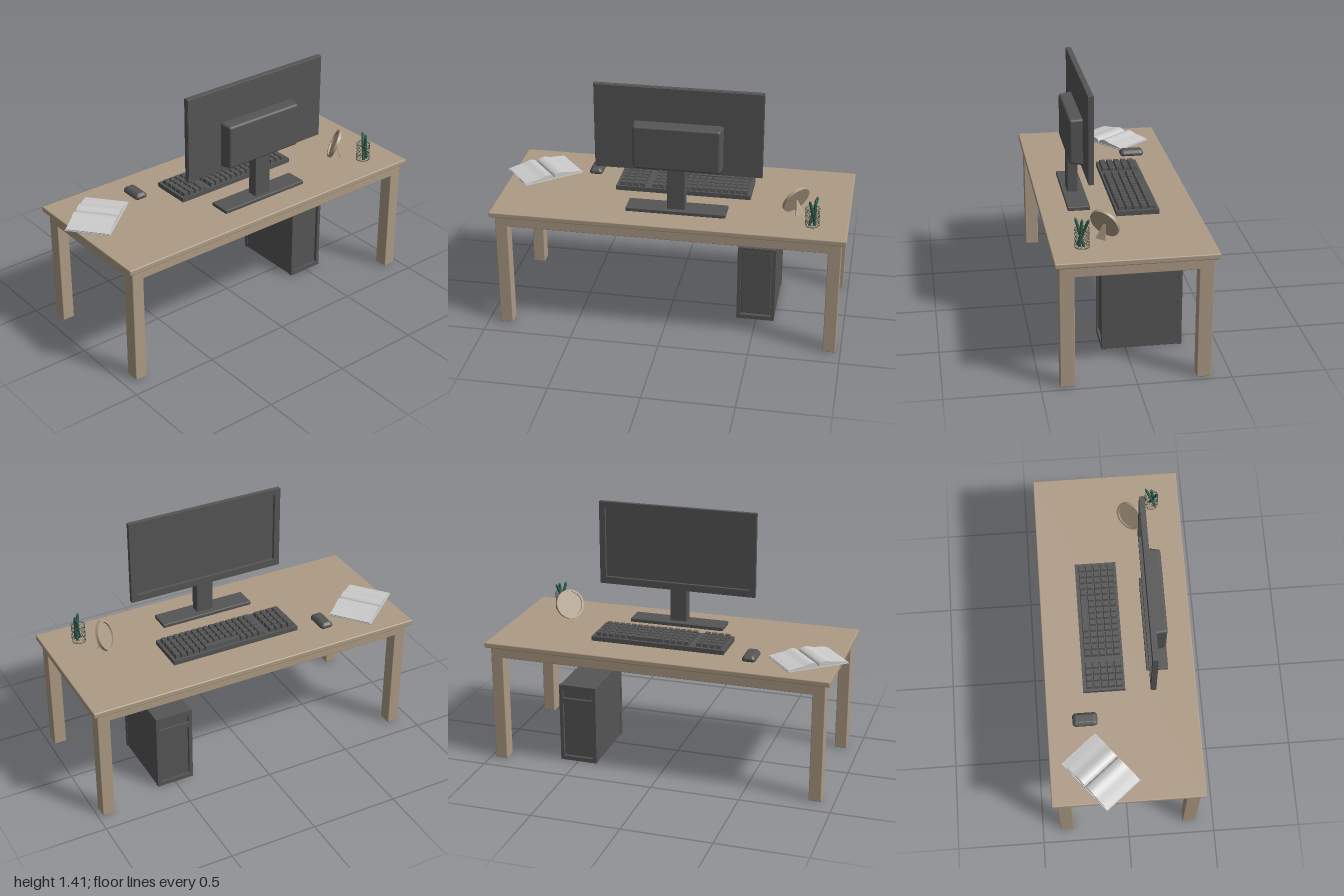
import * as THREE from 'three';
import { mergeGeometries } from 'three/addons/utils/BufferGeometryUtils.js';
import { RoundedBoxGeometry } from 'three/addons/geometries/RoundedBoxGeometry.js';

const mat = (color, side = THREE.FrontSide) => new THREE.MeshStandardMaterial({ color, side });
const wood = mat(0xad9b85), dark = mat(0x555555), paper = mat(0xcccccc, THREE.DoubleSide);
const green = mat(0x2f5f4c), wire = mat(0x3c4a44);
const TOP = 0.708; // desk surface height

export function createModel() {
  const root = new THREE.Group();
  root.name = 'officeDesk';

  const add = (name, geometry, material, parent = root) => {
    const m = new THREE.Mesh(geometry, material);
    m.name = name;
    parent.add(m);
    return m;
  };
  const group = (name) => {
    const g = new THREE.Group();
    g.name = name;
    root.add(g);
    return g;
  };
  // softly bevelled box given by its limits on each axis
  const block = (name, [x0, x1], [y0, y1], [z0, z1], material, parent, r = 0.004) => {
    const m = add(name, new RoundedBoxGeometry(x1 - x0, y1 - y0, z1 - z0, 2, r), material, parent);
    m.position.set((x0 + x1) / 2, (y0 + y1) / 2, (z0 + z1) / 2);
    return m;
  };
  const vectors = (list) => list.map(([x, y]) => new THREE.Vector2(x, y));
  const rect = (target, x0, x1, y0, y1) => target
    .moveTo(x0, y0).lineTo(x1, y0).lineTo(x1, y1).lineTo(x0, y1).closePath();
  // plate in x/y with rectangular openings, running from z = 0 to depth
  const plate = ([x0, x1, y0, y1], holes, depth) => {
    const s = rect(new THREE.Shape(), x0, x1, y0, y1);
    holes.forEach((h) => s.holes.push(rect(new THREE.Path(), ...h)));
    return new THREE.ExtrudeGeometry(s, { depth, bevelEnabled: false });
  };

  // Desk: top, four legs and the apron flush between them
  const desk = group('desk');
  block('deskTop', [-0.957, 0.998], [0.678, TOP], [-0.422, 0.421], wood, desk, 0.006);
  for (const [x0, x1] of [[-0.929, -0.86], [0.902, 0.972]]) {
    for (const [z0, z1] of [[-0.395, -0.317], [0.32, 0.398]]) {
      block('leg', [x0, x1], [0, 0.68], [z0, z1], wood, desk);
    }
  }
  for (const x of [-0.929, 0.942]) block('sideApron', [x, x + 0.03], [0.617, 0.68], [-0.35, 0.35], wood, desk);
  for (const z of [-0.395, 0.368]) block('longApron', [-0.89, 0.93], [0.617, 0.68], [z, z + 0.03], wood, desk);

  // Computer case: body with framed recesses on both ends
  const tower = group('computerCase');
  block('caseBody', [0.39, 0.602], [0.002, 0.458], [-0.292, 0.108], dark, tower, 0.002);
  const outline = [0.388, 0.604, 0, 0.46];
  add('caseBackFrame', plate(outline, [[0.408, 0.584, 0.025, 0.438]], 0.024), dark, tower).position.z = 0.105;
  block('backPanel', [0.412, 0.58], [0.03, 0.433], [0.1, 0.118], dark, tower);
  add('caseFrontFrame', plate(outline, [[0.408, 0.584, 0.025, 0.35], [0.408, 0.584, 0.38, 0.43]], 0.024),
    dark, tower).position.z = -0.309;
  block('driveDoor', [0.41, 0.582], [0.385, 0.43], [-0.302, -0.28], dark, tower, 0.002);
  block('frontPanel', [0.411, 0.581], [0.028, 0.347], [-0.298, -0.28], dark, tower, 0.002);

  // Monitor: the screen looks towards the back of the desk
  const monitor = group('monitor');
  add('bezel', plate([-0.404, 0.518, 0.926, 1.412], [[-0.37, 0.484, 0.966, 1.38]], 0.024), dark, monitor).position.z = 0.155;
  block('screen', [-0.403, 0.517], [0.927, 1.411], [0.173, 0.185], dark, monitor, 0.002);
  const housing = new RoundedBoxGeometry(0.496, 0.262, 0.078, 2, 0.014);
  const hp = housing.attributes.position;
  for (let i = 0; i < hp.count; i++) {
    if (hp.getZ(i) > 0) hp.setXY(i, hp.getX(i) * 0.965, hp.getY(i) * 0.95); // tapers outwards
  }
  add('rearHousing', housing, dark, monitor).position.set(0.058, 1.087, 0.217);
  block('standNeck', [0.006, 0.106], [0.72, 1.0], [0.188, 0.246], dark, monitor);
  block('standFoot', [-0.22, 0.333], [TOP, 0.73], [0.15, 0.272], dark, monitor);

  // Keyboard: tray with two wells filled with keys
  const keyboard = group('keyboard');
  const wells = [[-0.31, -0.158, -0.014, 0.194], [-0.125, 0.424, -0.014, 0.194]]; // y here is -z
  const tray = plate([-0.325, 0.44, -0.024, 0.21], wells, 0.026);
  tray.rotateX(-Math.PI / 2);
  add('keyboardTray', tray, dark, keyboard).position.y = TOP;
  block('keyboardBase', [-0.324, 0.439], [TOP, 0.724], [-0.209, 0.023], dark, keyboard);
  const keys = [];
  const key = (x, z, w) => {
    const g = new THREE.BoxGeometry(w, 0.03, 0.036);
    const p = g.attributes.position;
    for (let i = 0; i < p.count; i++) {
      if (p.getY(i) > 0) p.setXYZ(i, p.getX(i) - Math.sign(p.getX(i)) * 0.003, p.getY(i), p.getZ(i) * 0.84);
    }
    g.computeVertexNormals();
    keys.push(g.translate(x, 0.737, z));
  };
  const rowZ = (r) => -0.172 + r * 0.041;
  for (let r = 0; r < 5; r++) {
    for (let c = 0; c < 4; c++) key(-0.291 + c * 0.038, rowZ(r), 0.033);
    for (let c = 0; c < 15; c++) {
      if (r > 0 || c < 4 || c > 9) key(-0.105 + c * 0.0364, rowZ(r), 0.032);
    }
  }
  key(-0.105 + 6.5 * 0.0364, rowZ(0), 0.214); // space bar
  add('keys', mergeGeometries(keys), dark, keyboard);

  // Mouse: rounded block arched along and across
  const mouse = new RoundedBoxGeometry(0.076, 0.048, 0.138, 6, 0.02);
  const mp = mouse.attributes.position;
  for (let i = 0; i < mp.count; i++) {
    const y = mp.getY(i) + 0.024, t = mp.getZ(i) / 0.069, s = mp.getX(i) / 0.038;
    mp.setY(i, y * (1 - 0.3 * t * t) * (1 - 0.35 * s * s));
  }
  mouse.computeVertexNormals();
  add('mouse', mouse, dark).position.set(-0.481, TOP, -0.211);

  // Open book: thin cover and two arched stacks of pages
  const book = group('openBook');
  book.position.set(-0.78, TOP, -0.142);
  book.rotation.y = 0.688;
  add('cover', new THREE.BoxGeometry(0.362, 0.004, 0.25), paper, book).position.y = 0.002;
  for (const s of [-1, 1]) {
    const curve = new THREE.SplineCurve(vectors([[0, 0.007], [0.012, 0.024], [0.045, 0.032], [0.09, 0.021],
      [0.135, 0.016], [0.177, 0.009]].map(([x, y]) => [s * x, y])));
    const pages = new THREE.Shape([new THREE.Vector2(0, 0.003), ...curve.getPoints(20), new THREE.Vector2(s * 0.177, 0.003)]);
    add('pages', new THREE.ExtrudeGeometry(pages, { depth: 0.24, bevelEnabled: false }), paper, book).position.z = -0.12;
  }

  // Round table mirror leaning on a triangular strut
  const mirror = group('roundMirror');
  mirror.position.set(0.7, 0.786, 0.125);
  mirror.rotation.y = Math.atan2(-0.73, -0.68);
  const disc = new THREE.Group();
  disc.name = 'mirrorDisc';
  disc.rotation.x = -0.41;
  mirror.add(disc);
  add('plate', new THREE.CylinderGeometry(0.08, 0.08, 0.008, 48).rotateX(Math.PI / 2), wood, disc).position.z = -0.004;
  const rim = vectors([[0.073, -0.008], [0.085, -0.008], [0.085, 0.009], [0.073, 0.009], [0.073, -0.008]]);
  const rimGeo = new THREE.LatheGeometry(rim, 48).toNonIndexed();
  rimGeo.computeVertexNormals();
  add('rim', rimGeo.rotateX(Math.PI / 2), wood, disc);
  const strut = new THREE.Shape(vectors([[-0.004, 0], [-0.032, -0.085], [0.032, -0.085], [0.004, 0]]));
  const leg = add('strut', new THREE.ExtrudeGeometry(strut, { depth: 0.005, bevelEnabled: false }), wood, mirror);
  leg.rotation.x = 0.41;
  leg.position.z = -0.008;

  // Wire cup: crossed spirals between rings
  const cup = group('penCup');
  cup.position.set(0.803, TOP, 0.259);
  const R = 0.038, H = 0.1, N = 14, wires = [];
  for (let i = 0; i < N; i++) {
    for (const s of [-1, 1]) {
      const pts = [];
      for (let j = 0; j <= 10; j++) {
        const a = (i / N) * Math.PI * 2 + s * (j / 10) * 1.8;
        pts.push(new THREE.Vector3(R * Math.cos(a), H * j / 10, R * Math.sin(a)));
      }
      wires.push(new THREE.TubeGeometry(new THREE.CatmullRomCurve3(pts), 14, 0.0007, 4));
    }
  }
  for (const y of [0.002, H]) wires.push(new THREE.TorusGeometry(R, 0.0015, 6, 32).rotateX(Math.PI / 2).translate(0, y, 0));
  add('wireMesh', mergeGeometries(wires), wire, cup);

  // Pens: foot x, foot z, tip x, tip z
  const pens = [[0.012, -0.008, -0.016, 0.032], [-0.014, 0.022, 0.022, -0.034], [0.012, 0.016, 0.014, 0.0]];
  for (const [x0, z0, x1, z1] of pens) {
    const foot = new THREE.Vector3(x0, 0.004, z0), tip = new THREE.Vector3(x1, 0.157, z1);
    const dir = tip.clone().sub(foot), L = dir.length();
    const profile = vectors([[0, 0], [0.008, 0.003], [0.008, L - 0.016], [0.005, L - 0.004], [0, L]]);
    const pen = add('pen', new THREE.LatheGeometry(profile, 12), green, cup);
    pen.position.copy(foot);
    pen.quaternion.setFromUnitVectors(new THREE.Vector3(0, 1, 0), dir.normalize());
  }

  return root;
}
